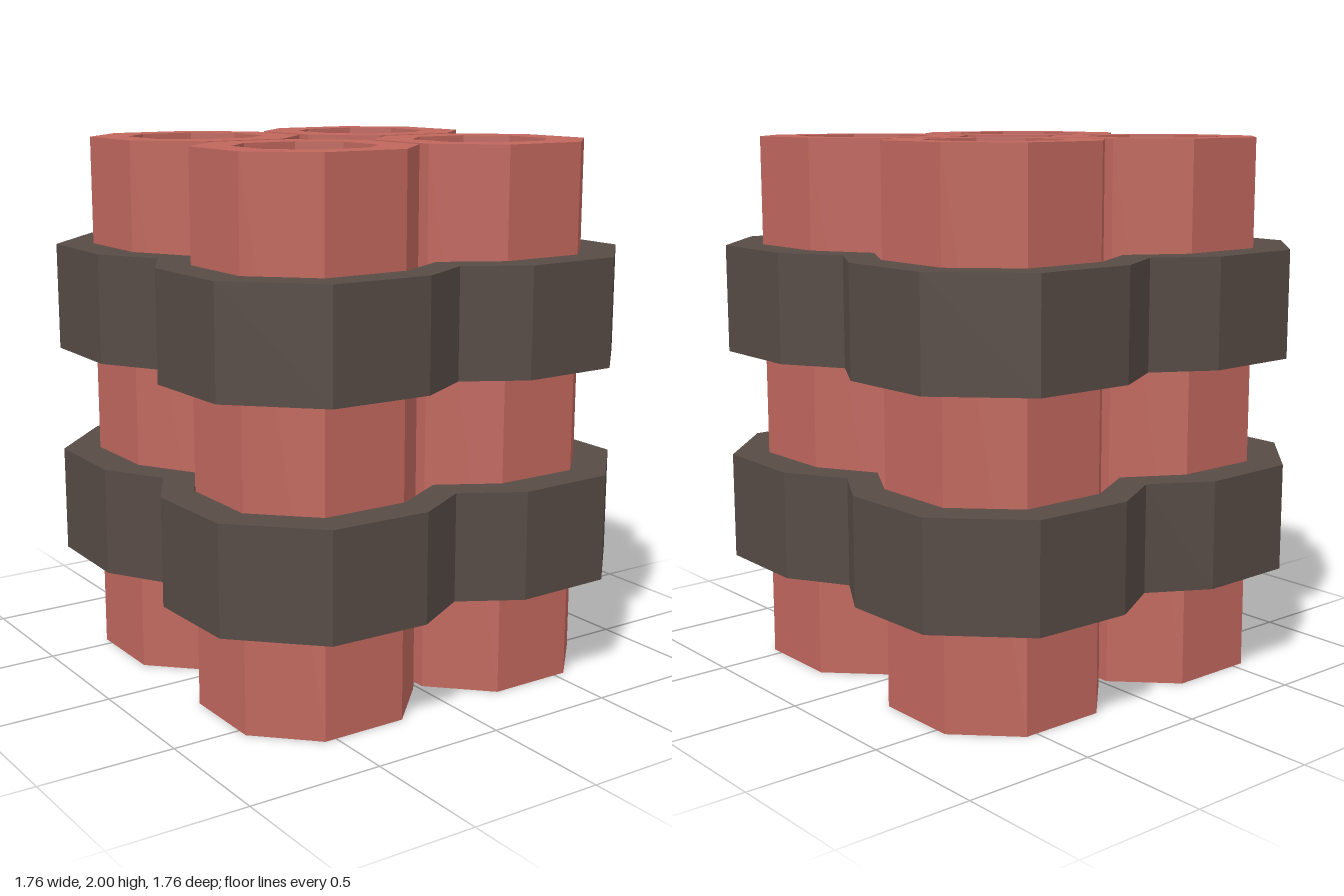
import * as THREE from 'three';

const red = new THREE.MeshStandardMaterial({ color: 0xc0675d });
red.name = 'tubeRed';
const dark = new THREE.MeshStandardMaterial({ color: 0x574b45 });
dark.name = 'strapBrown';
const pale = new THREE.MeshStandardMaterial({ color: 0xc8c3ba });
pale.name = 'fillingGrey';

// Faceted eight-sided lathe; profile entries are [half width, half side, height]
function octagonLathe(profile) {
  const points = profile.map(([w, , y]) => new THREE.Vector2(w, y));
  const indexed = new THREE.LatheGeometry(points, 8, Math.PI / 8);
  const pos = indexed.attributes.position;
  for (let i = 0; i < pos.count; i++) {
    const [w, s] = profile[i % profile.length];
    const x = pos.getX(i), z = pos.getZ(i);
    const wide = Math.abs(x) > Math.abs(z);
    pos.setX(i, Math.sign(x) * (wide ? w : s));
    pos.setZ(i, Math.sign(z) * (wide ? s : w));
  }
  const geometry = indexed.toNonIndexed();
  geometry.computeVertexNormals();
  return geometry;
}

// Repeats one quarter outline around the four sides
function fourfold(quarter) {
  const out = [];
  for (let k = 0; k < 4; k++) {
    for (const [x, y] of quarter) {
      const p = [[x, y], [-y, x], [-x, -y], [y, -x]][k];
      out.push(new THREE.Vector2(...p));
    }
  }
  return out;
}

export function createModel() {
  const model = new THREE.Group();
  model.name = 'tubeBundle';
  const add = (geometry, material, name, parent = model) => {
    const mesh = new THREE.Mesh(geometry, material);
    mesh.name = name;
    parent.add(mesh);
    return mesh;
  };

  // Four tubes with a recessed filling at the top
  const casing = octagonLathe([
    [0, 0, 0], [0.362, 0.163, 0], [0.362, 0.163, 2],
    [0.23, 0.106, 2], [0.23, 0.106, 1.9],
  ]);
  const filling = octagonLathe([[0.23, 0.106, 1.9], [0, 0, 1.9]]);
  for (const x of [-1, 1]) {
    for (const z of [-1, 1]) {
      const tube = new THREE.Group();
      tube.name = `${z > 0 ? 'front' : 'back'}${x > 0 ? 'Left' : 'Right'}Tube`;
      tube.position.set(x * 0.382, 0, z * 0.382);
      add(casing, red, 'casing', tube);
      add(filling, pale, 'filling', tube);
      model.add(tube);
    }
  }

  // Two straps that pinch inward between the tubes
  const outline = new THREE.Shape(fourfold([
    [0.755, 0], [0.882, 0.22], [0.872, 0.6], [0.6, 0.872], [0.22, 0.882],
  ]));
  outline.holes.push(new THREE.Path(fourfold([
    [0.622, 0], [0.745, 0.215], [0.745, 0.545], [0.545, 0.745], [0.215, 0.745],
  ])));
  const strap = new THREE.ExtrudeGeometry(outline, { depth: 0.4, bevelEnabled: false });
  strap.rotateX(-Math.PI / 2);
  add(strap, dark, 'lowerStrap').position.y = 0.4;
  add(strap, dark, 'upperStrap').position.y = 1.2;

  return model;
}
